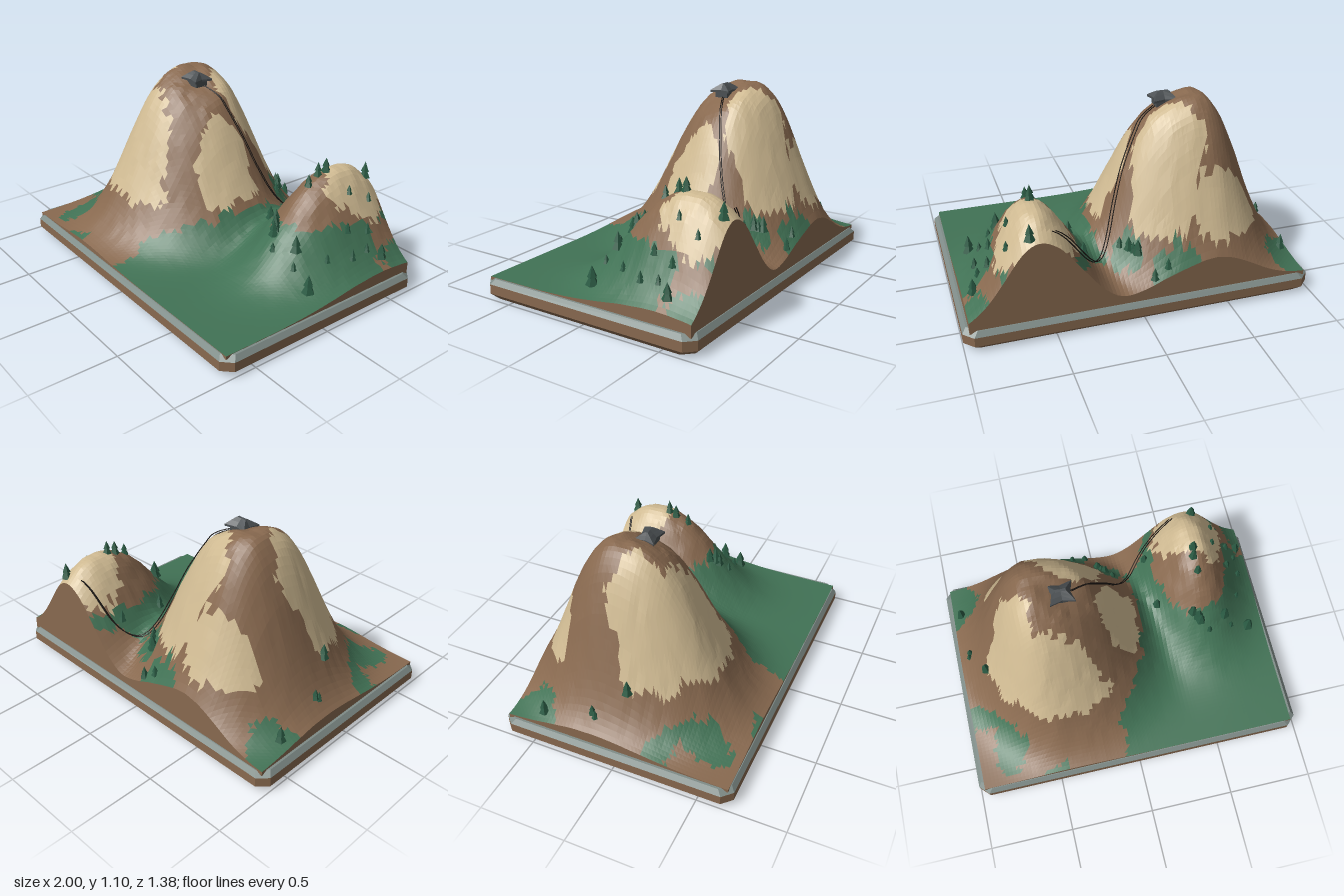
import * as THREE from 'three';

const HX = 0.965, HZ = 0.663, NX = 84, NZ = 58, GROUND = 0.12;
const paint = (name, color, flat = true) => {
  const m = new THREE.MeshStandardMaterial({ color, flatShading: flat });
  m.name = name;
  return m;
};

// Repeatable value noise
const hash = (i, j) => { const s = Math.sin(i * 127.1 + j * 311.7) * 43758.5453; return s - Math.floor(s); };
function noise(x, z) {
  const i = Math.floor(x), j = Math.floor(z), u = x - i, v = z - j, L = THREE.MathUtils.lerp;
  return L(L(hash(i, j), hash(i + 1, j), u), L(hash(i, j + 1), hash(i + 1, j + 1), u), v) * 2 - 1;
}

// Bell-shaped hill; each side has its own [width, steepness]
function hill(x, z, h) {
  const dx = x - h.x, dz = z - h.z;
  const [wx, px] = dx < 0 ? h.left : h.right, [wz, pz] = dz < 0 ? h.back : h.front;
  const a = (dx / wx) ** 2, b = (dz / wz) ** 2, s = a + b;
  if (s < 1e-9) return h.height;
  return h.height * Math.exp(-(s ** ((px * a + pz * b) / s / 2)));
}
const MAIN = { x: -0.43, z: -0.16, height: 0.985, left: [0.35, 2.35], right: [0.55, 3], back: [0.42, 2.7], front: [0.525, 2.8] };
const SIDE = { x: 0.57, z: -0.45, height: 0.57, left: [0.3, 2.15], right: [0.275, 2.1], back: [0.42, 2.3], front: [0.49, 2.5] };
function height(x, z) {
  const h = Math.hypot(hill(x, z, MAIN), hill(x, z, SIDE));
  const shelf = 0.05 * Math.exp(-((x + 0.26) ** 2 + (z + 0.08) ** 2) / 0.014);
  return GROUND + h - shelf + 0.007 * Math.min(1, h * 3) * noise(x * 24 + 40, z * 24 + 40);
}

// Ground patches as [x, z, radius x, radius z, turn]
const SAND = [
  [-0.64, 0.06, 0.16, 0.23, 0.3], [-0.35, 0.27, 0.25, 0.165, 0.2], [-0.58, -0.53, 0.23, 0.1, -0.1], [-0.53, 0.26, 0.12, 0.13, 0],
  [-0.21, -0.38, 0.2, 0.2, 0], [0.05, -0.06, 0.13, 0.19, 0], [0.56, -0.53, 0.21, 0.18, 0], [0.67, -0.41, 0.1, 0.14, 0],
];
const GRASS = [
  [-0.93, -0.54, 0.14, 0.15, 0], [-0.18, -0.65, 0.14, 0.07, 0], [0.05, -0.48, 0.07, 0.08, 0.4],
  [-0.86, 0.27, 0.13, 0.07, 0.2], [-0.75, 0.46, 0.1, 0.14, 0], [-0.93, 0.22, 0.06, 0.08, 0], [-0.55, 0.66, 0.1, 0.03, 0],
];
const inside = (list, x, z) => list.some(([cx, cz, rx, rz, t]) => {
  const c = Math.cos(t), s = Math.sin(t), dx = x - cx, dz = z - cz;
  return ((dx * c + dz * s) / rx) ** 2 + ((dz * c - dx * s) / rz) ** 2 < 1;
});
// Left limit of the meadow, from back to front
const EDGE = [[-0.7, 0.34], [-0.52, 0.3], [-0.45, 0.16], [0.1, 0.17], [0.35, -0.02], [0.7, -0.13]];
function meadowEdge(z) {
  const i = Math.max(1, EDGE.findIndex(p => p[0] >= z));
  const [z0, x0] = EDGE[i - 1], [z1, x1] = EDGE[i];
  return THREE.MathUtils.mapLinear(z, z0, z1, x0, x1);
}
// 0 earth, 1 grass, 2 sand
function groundType(x, y, z) {
  const jx = x + 0.04 * noise(x * 13, z * 13) + 0.025 * noise(x * 45, z * 45);
  const jz = z + 0.04 * noise(x * 13 + 70, z * 13) + 0.025 * noise(x * 45, z * 45 + 30);
  const jy = y + 0.04 * noise(x * 15, z * 15) + 0.03 * noise(x * 45 + 9, z * 45);
  if (inside(SAND, jx, jz) && jy > 0.4) return 2;
  if (inside(GRASS, jx, jz) && (jy < 0.27 || x > -0.4)) return 1;
  const strip = jx > 0.76 && jz < -0.47 && (jz > -0.54 || jx < 0.85);
  return jx > meadowEdge(z) && jy < 0.43 && !strip ? 1 : 0;
}

function makeTerrain(materials) {
  const geo = new THREE.PlaneGeometry(HX * 2, HZ * 2, NX, NZ).rotateX(-Math.PI / 2);
  const p = geo.attributes.position, idx = geo.index.array, lists = [[], [], []];
  for (let i = 0; i < p.count; i++) p.setY(i, height(p.getX(i), p.getZ(i)));
  for (let i = 0; i < idx.length; i += 3) {
    const f = [idx[i], idx[i + 1], idx[i + 2]];
    const mid = get => (get(f[0]) + get(f[1]) + get(f[2])) / 3;
    lists[groundType(mid(k => p.getX(k)), mid(k => p.getY(k)), mid(k => p.getZ(k)))].push(...f);
  }
  geo.setIndex(lists.flat());
  let start = 0;
  lists.forEach((l, k) => { geo.addGroup(start, l.length, k); start += l.length; });
  geo.computeVertexNormals();
  return new THREE.Mesh(geo, materials);
}

function triangleMesh(pos, material) {
  const geo = new THREE.BufferGeometry();
  geo.setAttribute('position', new THREE.Float32BufferAttribute(pos, 3));
  geo.computeVertexNormals();
  return new THREE.Mesh(geo, material);
}

// Upright walls closing the cut edges of the land
function makeWalls(material) {
  const path = [], pos = [];
  const run = (x0, z0, x1, z1, n) => {
    for (let i = 0; i < n; i++) path.push([x0 + (x1 - x0) * i / n, z0 + (z1 - z0) * i / n]);
  };
  run(-HX, HZ, HX, HZ, NX); run(HX, HZ, HX, -HZ, NZ); run(HX, -HZ, -HX, -HZ, NX); run(-HX, -HZ, -HX, HZ, NZ);
  path.forEach(([ax, az], i) => {
    const [bx, bz] = path[(i + 1) % path.length], ah = height(ax, az), bh = height(bx, bz);
    pos.push(ax, 0.1, az, bx, 0.1, bz, bx, bh, bz, ax, 0.1, az, bx, bh, bz, ax, ah, az);
  });
  return triangleMesh(pos, material);
}

// Closed slab through chamfered rectangles given as [y, inset]
function makeSlab(rings, material) {
  const pos = [], c = 0.055;
  const loops = rings.map(([y, d]) => {
    const x = 1 - d, z = 0.69 - d;
    return [[-x + c, z], [x - c, z], [x, z - c], [x, -z + c], [x - c, -z], [-x + c, -z], [-x, -z + c], [-x, z - c]]
      .map(q => [q[0], y, q[1]]);
  });
  const tri = (...v) => pos.push(...v.flat());
  for (let r = 0; r + 1 < loops.length; r++) for (let i = 0; i < 8; i++) {
    const j = (i + 1) % 8, lo = loops[r], hi = loops[r + 1];
    tri(lo[i], lo[j], hi[j]); tri(lo[i], hi[j], hi[i]);
  }
  const bottom = loops[0], top = loops[loops.length - 1];
  for (let i = 1; i < 7; i++) { tri(top[0], top[i], top[i + 1]); tri(bottom[0], bottom[i + 1], bottom[i]); }
  return triangleMesh(pos, material);
}

// Two-tier, five-sided conifers as [x, z, height]
const TREES = [
  [-0.14, -0.63, 0.07], [-0.06, -0.64, 0.08], [0, -0.52, 0.1], [0.04, -0.48, 0.09], [0.08, -0.44, 0.07], [0.02, -0.5, 0.07],
  [0.3, -0.49, 0.08], [0.62, -0.63, 0.105], [0.73, -0.55, 0.06], [0.91, -0.49, 0.1], [0.82, -0.46, 0.07], [0.7, -0.42, 0.06],
  [0.56, -0.37, 0.09], [0.55, -0.32, 0.09], [0.56, -0.24, 0.08], [0.79, -0.33, 0.07], [0.87, -0.3, 0.07], [0.87, -0.41, 0.06],
  [0.31, -0.19, 0.09], [0.5, -0.06, 0.1], [0.53, -0.03, 0.11], [0.54, -0.01, 0.1], [0.7, -0.03, 0.11], [0.59, 0.04, 0.06],
  [0.86, 0.02, 0.12], [0.74, 0.02, 0.06], [-0.91, -0.46, 0.1], [-0.89, -0.16, 0.07], [-0.9, -0.14, 0.06], [-0.8, 0.01, 0.1],
  [0.82, -0.155, 0.06],
];
function makeTree([x, z, h], i, leaf) {
  const tree = new THREE.Group();
  tree.name = 'tree';
  for (const [r, len, y] of [[0.32, 0.65, 0.4], [0.23, 0.55, 0.72]]) {
    const tier = new THREE.Mesh(new THREE.ConeGeometry(r * h, len * h, 5), leaf);
    tier.position.y = y * h;
    tier.name = 'treeTier';
    tree.add(tier);
  }
  tree.position.set(x, height(x, z) - 0.01, z);
  tree.rotation.y = i * 1.7;
  return tree;
}

// Summit hut with a flared, ridged hip roof
function makeHut(stone) {
  const hut = new THREE.Group();
  const body = new THREE.Mesh(new THREE.BoxGeometry(0.1, 0.04, 0.08), stone);
  body.position.y = 0.01;
  body.name = 'hutBody';
  const roofGeo = new THREE.LatheGeometry([[0, 0.015], [0.1, 0.022], [0.1, 0.034], [0.055, 0.054], [0.014, 0.071], [0, 0.071]]
    .map(q => new THREE.Vector2(...q)), 8, Math.PI / 4);
  const p = roofGeo.attributes.position;
  for (let i = 0; i < p.count; i++) {
    // pull in the mid-side points so that the corners flare, and draw the top out into a ridge
    const x = p.getX(i), z = p.getZ(i), mid = Math.min(Math.abs(x), Math.abs(z)) < 1e-4 ? 0.52 : 1;
    const ridge = Math.abs(x) > 1e-4 ? Math.sign(x) * (0.1 - Math.hypot(x, z)) * 0.25 : 0;
    p.setX(i, x * mid + ridge);
    p.setZ(i, z * mid * 0.87);
  }
  roofGeo.computeVertexNormals();
  const roof = new THREE.Mesh(roofGeo, stone);
  roof.name = 'hutRoof';
  hut.add(body, roof);
  hut.position.set(-0.28, 1.03, -0.095);
  return hut;
}

export function createModel() {
  const model = new THREE.Group();
  const earth = paint('earth', 0x88694f), grass = paint('grass', 0x417255), sand = paint('sand', 0xcfba92);
  const rim = paint('rimGrey', 0x7f8c88), stone = paint('hutGrey', 0x4a4f52);
  const leaf = paint('conifer', 0x2a5a43), iron = paint('iron', 0x1c1714, false);
  const add = (name, o) => { o.name = name; model.add(o); };

  add('basePlinth', makeSlab([[0, 0.035], [0.035, 0], [0.09, 0]], earth));
  add('baseRim', makeSlab([[0.09, 0], [0.118, 0.022]], rim));
  add('terrain', makeTerrain([earth, grass, sand]));
  add('terrainWalls', makeWalls(earth));
  add('summitHut', makeHut(stone));

  // Pair of thin rails, set apart along x, from the hut over the saddle to the side peak
  const route = new THREE.CatmullRomCurve3([[-0.23, -0.11], [-0.1, -0.17], [0.04, -0.265], [0.17, -0.42], [0.3, -0.55], [0.49, -0.615]]
    .map(q => new THREE.Vector3(q[0], 0, q[1])));
  const track = [...Array(25).keys()].map(i => {
    const q = route.getPoint(i / 24);
    return q.setY(height(q.x, q.z) + 0.02);
  });
  for (const offset of [-0.009, 0.009]) {
    const rail = new THREE.Mesh(new THREE.TubeGeometry(new THREE.CatmullRomCurve3(track), 60, 0.003, 6), iron);
    rail.position.x = offset;
    add('rail', rail);
  }
  TREES.forEach((t, i) => model.add(makeTree(t, i, leaf)));
  return model;
}
